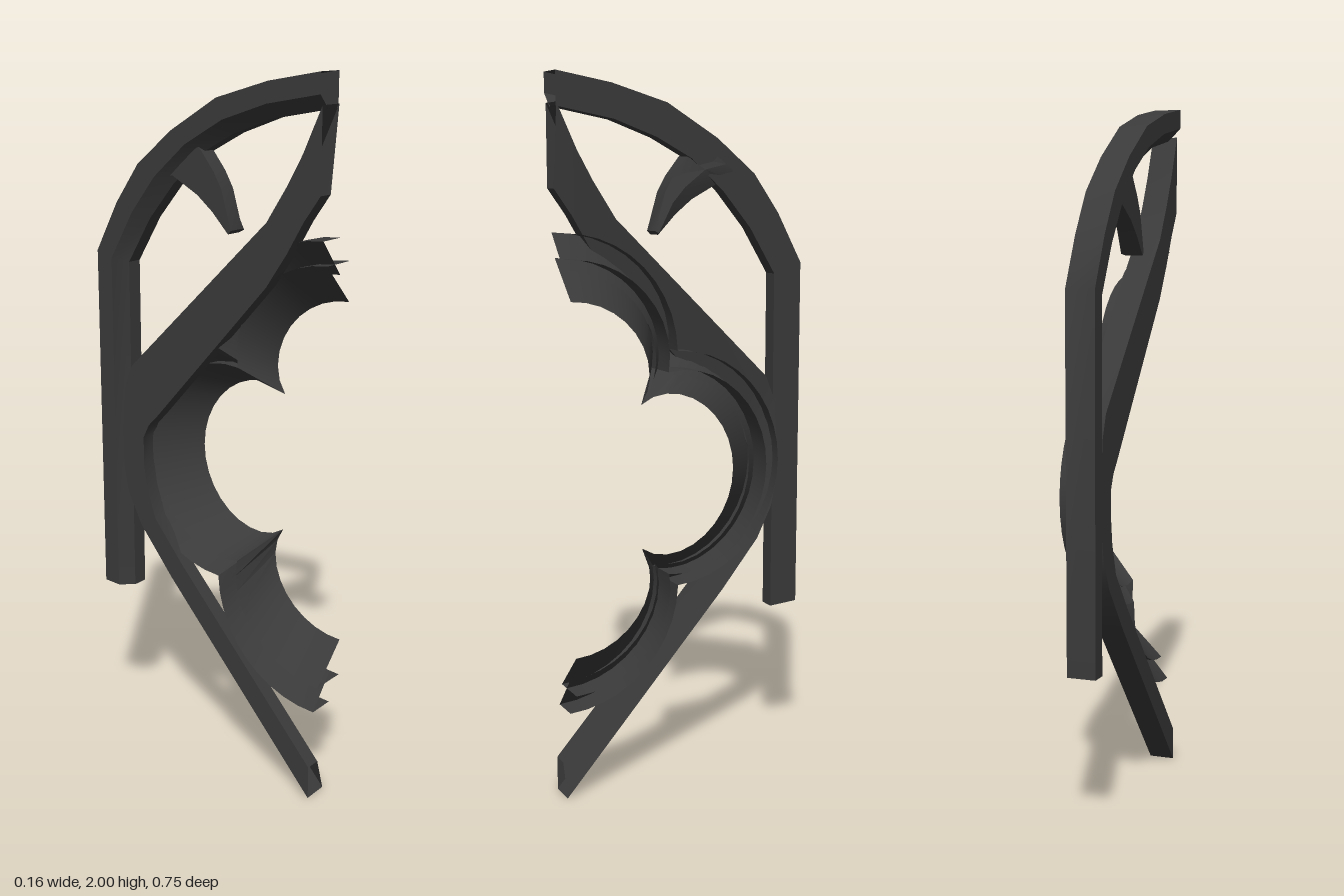
import * as THREE from 'three';
import { toCreasedNormals } from 'three/addons/utils/BufferGeometryUtils.js';

const stone = new THREE.MeshStandardMaterial({ color: 0x3a3a3a, side: THREE.DoubleSide });

// Sweep a profile of [s, x] between an inner and an outer edge, both lists of [z, y].
// The start stays open; the far end can be capped.
function moulding(name, outer, inner, profile, capEnd = false) {
  const pos = [];
  const point = (i, j) => {
    const [s, x] = profile[j];
    const [z0, y0] = inner[i], [z1, y1] = outer[i];
    return [x, y0 + (y1 - y0) * s, z0 + (z1 - z0) * s];
  };
  const tri = (a, b, c) => pos.push(...a, ...b, ...c);
  const last = outer.length - 1;
  for (let i = 0; i < last; i++) {
    for (let j = 0; j < profile.length - 1; j++) {
      tri(point(i, j), point(i, j + 1), point(i + 1, j + 1));
      tri(point(i, j), point(i + 1, j + 1), point(i + 1, j));
    }
  }
  if (capEnd) {
    const flat = profile.map(([s, x]) => new THREE.Vector2(s, x));
    for (const [a, b, c] of THREE.ShapeUtils.triangulateShape(flat, [])) {
      tri(point(last, a), point(last, b), point(last, c));
    }
  }
  const geo = new THREE.BufferGeometry();
  geo.setAttribute('position', new THREE.Float32BufferAttribute(pos, 3));
  const mesh = new THREE.Mesh(toCreasedNormals(geo, 0.5), stone);
  mesh.name = name;
  return mesh;
}

// Edges of half a quatrefoil: a half lobe, a full side lobe and a half lobe
function foilEdges() {
  const cz = 0.373, cy = 0.925, steps = 10;
  const outer = [], inner = [];
  const place = (axis, d, r, a) => [
    cz - d * Math.sin(axis) - r * Math.sin(axis + a),
    cy + d * Math.cos(axis) + r * Math.cos(axis + a)
  ];
  for (let lobe = 0; lobe < 3; lobe++) {
    const axis = lobe * Math.PI / 2;
    const from = lobe === 0 ? 0 : -steps + 1;
    const to = lobe === 2 ? 0 : steps;
    for (let i = from; i <= to; i++) {
      const t = i / steps;
      outer.push(place(axis, 0.325, 0.335, 1.541 * t));
      // the inner edge draws in to a pointed cusp
      inner.push(place(axis, 0.25, 0.235 - 0.029 * t ** 6, 1.815 * t));
    }
  }
  return [outer, inner];
}

export function createModel() {
  const group = new THREE.Group();
  group.name = 'traceryHalf';

  // outer arch running down into the straight post, chamfered on its inner back corner
  group.add(moulding('outerArch',
    [[0.375, 2], [0.217, 1.973], [0.053, 1.926], [-0.1, 1.835], [-0.217, 1.74], [-0.296, 1.63], [-0.372, 1.49], [-0.372, 0.48]],
    [[0.375, 1.91], [0.21, 1.88], [0.085, 1.835], [-0.02, 1.78], [-0.12, 1.69], [-0.205, 1.59], [-0.285, 1.46], [-0.285, 0.475]],
    [[0, -0.045], [0.4, -0.08], [1, -0.08], [1, 0], [0, 0], [0, -0.045]], true));

  // ogee band that sweeps round the foil, its face leaning back to the inside
  group.add(moulding('ogeeBand',
    [[0.375, 1.92], [0.32, 1.8], [0.275, 1.72], [0.21, 1.62], [-0.26, 1.167], [-0.287, 1.1], [-0.297, 0.98], [-0.297, 0.86], [-0.28, 0.78], [-0.235, 0.69], [-0.12, 0.55], [0.375, 0.003]],
    [[0.375, 1.7], [0.325, 1.63], [0.275, 1.545], [0.21, 1.45], [-0.17, 1.03], [-0.2, 1.0], [-0.22, 0.96], [-0.22, 0.88], [-0.21, 0.81], [-0.18, 0.72], [-0.08, 0.6], [0.375, 0.1]],
    [[0, -0.07], [1, -0.07], [1, 0.004], [0, -0.025], [0, -0.07]]));

  // two stepped foil mouldings: an outer wall and a hollow slope rising to the inner lip
  const [outer, inner] = foilEdges();
  group.add(moulding('outerFoil', outer, inner, [[0.45, 0.03], [1, -0.05], [1, 0.03]]));
  group.add(moulding('cuspedFoil', outer, inner, [[0, 0.077], [0.62, -0.03], [0.62, 0.077]]));

  // leaf-shaped spur hanging from the arch
  group.add(moulding('archSpur',
    [[-0.2, 1.705], [-0.11, 1.715], [-0.025, 1.67], [0.025, 1.63], [0.078, 1.575]],
    [[-0.05, 1.825], [-0.01, 1.785], [0.03, 1.735], [0.056, 1.69], [0.087, 1.585]],
    [[0, -0.06], [1, -0.06], [1, -0.01], [0.5, 0.005], [0, -0.01], [0, -0.06]], true));

  return group;
}
